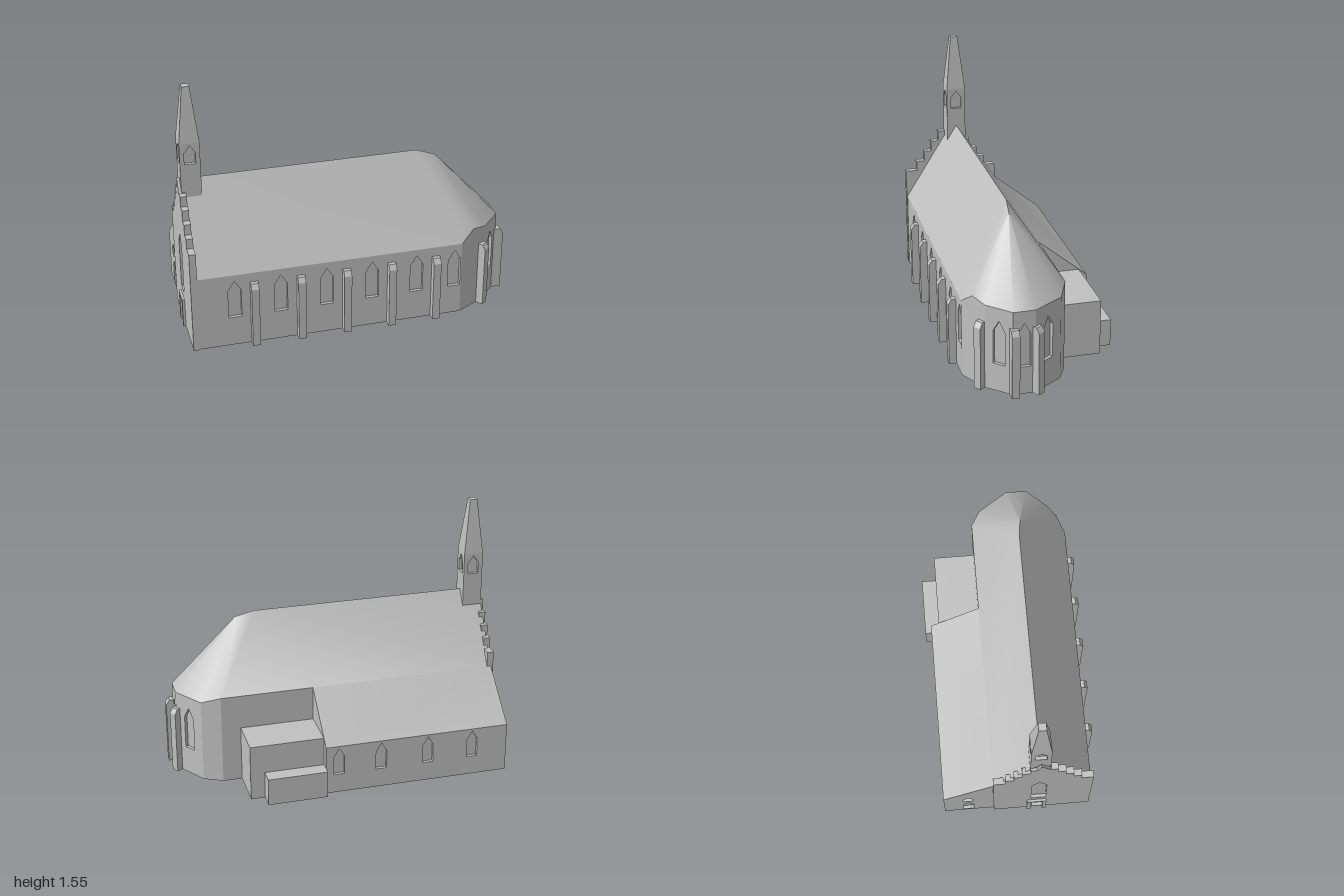
import * as THREE from 'three';
import { toCreasedNormals } from 'three/addons/utils/BufferGeometryUtils.js';

const stone = new THREE.MeshStandardMaterial({ color: 0xc0c0c0 });
stone.name = 'grey stone';
const RECESS = 0.02;

export function createModel() {
  const model = new THREE.Group();
  model.name = 'church';

  const add = (name, geometry, parent = model) => {
    const mesh = new THREE.Mesh(geometry, stone);
    mesh.name = name;
    parent.add(mesh);
    return mesh;
  };
  const polygon = (points) => new THREE.Shape(points.map(([x, y]) => new THREE.Vector2(x, y)));
  const box = (name, x0, x1, y0, y1, z0, z1) =>
    add(name, new THREE.BoxGeometry(x1 - x0, y1 - y0, z1 - z0)).position.set((x0 + x1) / 2, (y0 + y1) / 2, (z0 + z1) / 2);

  // Pointed window outline: centre, half width, sill, shoulder, tip
  const lancet = ([u, half, sill, shoulder, tip]) =>
    [[u - half, sill], [u + half, sill], [u + half, shoulder], [u, tip], [u - half, shoulder]];

  // Upright wall along plan line a -> b (outside on the right), with recessed windows
  function wall(name, a, b, outline, windows = [], depth = RECESS) {
    const u = new THREE.Vector3(b[0] - a[0], 0, b[1] - a[1]).normalize();
    const w = new THREE.Vector3(-u.z, 0, u.x);
    const group = new THREE.Group();
    group.name = name;
    group.applyMatrix4(new THREE.Matrix4().makeBasis(u, new THREE.Vector3(0, 1, 0), w).setPosition(a[0], 0, a[1]));
    const shape = polygon(outline);
    for (const win of windows) shape.holes.push(polygon(lancet(win)));
    const geometry = new THREE.ExtrudeGeometry(shape, { depth, bevelEnabled: false });
    add(name + 'Face', geometry.translate(0, 0, -depth), group);
    for (const win of windows) {
      add('windowPane', new THREE.ShapeGeometry(polygon(lancet(win))).translate(0, 0, -RECESS), group);
    }
    model.add(group);
  }
  // Plain wall between two eave points [x, y, z]
  function eaveWall(name, p, q, windows) {
    const length = Math.hypot(q[0] - p[0], q[2] - p[2]);
    wall(name, [p[0], p[2]], [q[0], q[2]], [[0, 0], [length, 0], [length, q[1]], [0, p[1]]], windows);
  }

  // Eave line of nave and apse, then ridge and aisle corners
  const E = [
    [-0.97, 0.475, 0.445], [0.655, 0.475, 0.445], [0.74, 0.54, 0.4], [0.83, 0.52, 0.35], [0.95, 0.515, 0.22],
    [0.95, 0.515, 0.09], [0.83, 0.515, -0.09], [0.72, 0.555, -0.145], [0.16, 0.555, -0.145], [-0.97, 0.555, -0.145],
  ];
  const R = [[-0.97, 0.975, 0.13], [0.45, 0.975, 0.13], [0.565, 0.94, 0.145]];
  const A = [[0.16, 0.305, -0.45], [-0.97, 0.305, -0.45]];

  // Nave walls and apse walls
  eaveWall('naveFrontWall', E[0], E[1],
    [-0.73, -0.455, -0.178, 0.098, 0.373, 0.61].map((x) => [x + 0.97, 0.039, 0.19, 0.37, 0.435]));
  for (let i = 1; i < 8; i++) {
    const length = Math.hypot(E[i + 1][0] - E[i][0], E[i + 1][2] - E[i][2]);
    const windows = i >= 3 && i <= 5 ? [[length / 2, 0.038, 0.17, 0.375, 0.44]] : [];
    eaveWall(i < 7 ? 'apseWall' : 'naveBackWall', E[i], E[i + 1], windows);
  }

  // Side aisle walls
  eaveWall('aisleEastWall', E[8], A[0]);
  eaveWall('aisleBackWall', A[0], A[1],
    [-0.75, -0.47, -0.18, 0.08].map((x) => [0.16 - x, 0.033, 0.12, 0.235, 0.29]));
  eaveWall('aisleWestWall', A[1], E[9], [[0.15, 0.033, 0.02, 0.12, 0.175], [0.15, 0.033, 0.21, 0.25, 0.3]]);

  // Roof
  const faces = [
    [R[0], E[0], E[1]], [R[0], E[1], R[1]], [R[1], E[1], E[2]], [R[1], E[2], R[2]],
    [R[2], E[7], R[1]], [R[1], E[7], E[9]], [R[1], E[9], R[0]],
    [E[9], E[8], A[0]], [E[9], A[0], A[1]],
  ];
  for (let i = 2; i < 7; i++) faces.push([R[2], E[i], E[i + 1]]);
  const roof = new THREE.BufferGeometry();
  roof.setAttribute('position', new THREE.Float32BufferAttribute(faces.flat(2), 3));
  add('roof', toCreasedNormals(roof, 0.7));

  // Floor underside
  const plan = [...E.slice(0, 9), ...A].map((p) => [p[0], p[2]]);
  add('floor', new THREE.ShapeGeometry(polygon(plan)).rotateX(Math.PI / 2));

  // Stepped west gable
  const half = [[0.297, 0.65], [0.225, 0.65], [0.225, 0.713], [0.176, 0.713], [0.176, 0.779],
    [0.128, 0.779], [0.128, 0.845], [0.08, 0.845], [0.08, 0.91], [0.04, 0.91]];
  const mid = 0.2975;
  const gable = [[0, 0], [2 * mid, 0], ...half.map(([d, y]) => [mid + d, y]), [mid - 0.02, 0.985],
    ...half.slice().reverse().map(([d, y]) => [mid - d, y])];
  wall('steppedGable', [-0.985, -0.145], [-0.985, 0.45], gable,
    [[0.275, 0.045, 0.235, 0.54, 0.62], [0.275, 0.035, 0.01, 0.14, 0.175]], 0.04);

  // Door surround
  for (const z of [0.072, 0.168]) box('doorJamb', -1, -0.98, 0, 0.185, z - 0.012, z + 0.012);
  box('doorLintel', -1, -0.98, 0.165, 0.185, 0.06, 0.18);

  // Buttresses with sloped caps: position x, z and turn about y
  const buttressShape = polygon([[-0.02, 0], [0.045, 0], [0.045, 0.385], [0.025, 0.415], [-0.02, 0.415]]);
  const buttressGeometry = new THREE.ExtrudeGeometry(buttressShape, { depth: 0.046, bevelEnabled: false })
    .translate(0, 0, -0.023).rotateY(-Math.PI / 2);
  const spots = [-0.615, -0.337, -0.06, 0.215, 0.49].map((x) => [x, 0.445, 0]);
  spots.push([0.805, 0.362, 0.68], [0.95, 0.213, Math.PI / 2], [0.94, 0.085, 2.12]);
  for (const [x, z, turn] of spots) {
    const buttress = add('buttress', buttressGeometry);
    buttress.position.set(x, 0, z);
    buttress.rotation.y = turn;
  }

  // Low annexes behind the apse end
  box('tallAnnex', 0.16, 0.605, 0, 0.345, -0.4, -0.14);
  box('lowAnnex', 0.16, 0.52, 0, 0.168, -0.492, -0.39);

  // Bell tower and spire
  const tx = -0.91, tz = 0.13, t = 0.059;
  const corners = [[-t, t], [t, t], [t, -t], [-t, -t]].map(([x, z]) => [tx + x, tz + z]);
  corners.forEach((corner, i) => wall('towerWall', corner, corners[(i + 1) % 4],
    [[0, 0.85], [2 * t, 0.85], [2 * t, 1.22], [0, 1.22]], [[t, 0.033, 1.09, 1.16, 1.205]]));
  const spire = new THREE.CylinderGeometry(0.022 * Math.SQRT2, t * Math.SQRT2, 0.335, 4)
    .rotateY(Math.PI / 4).toNonIndexed();
  spire.computeVertexNormals();
  add('spire', spire).position.set(tx, 1.3875, tz);

  return model;
}
